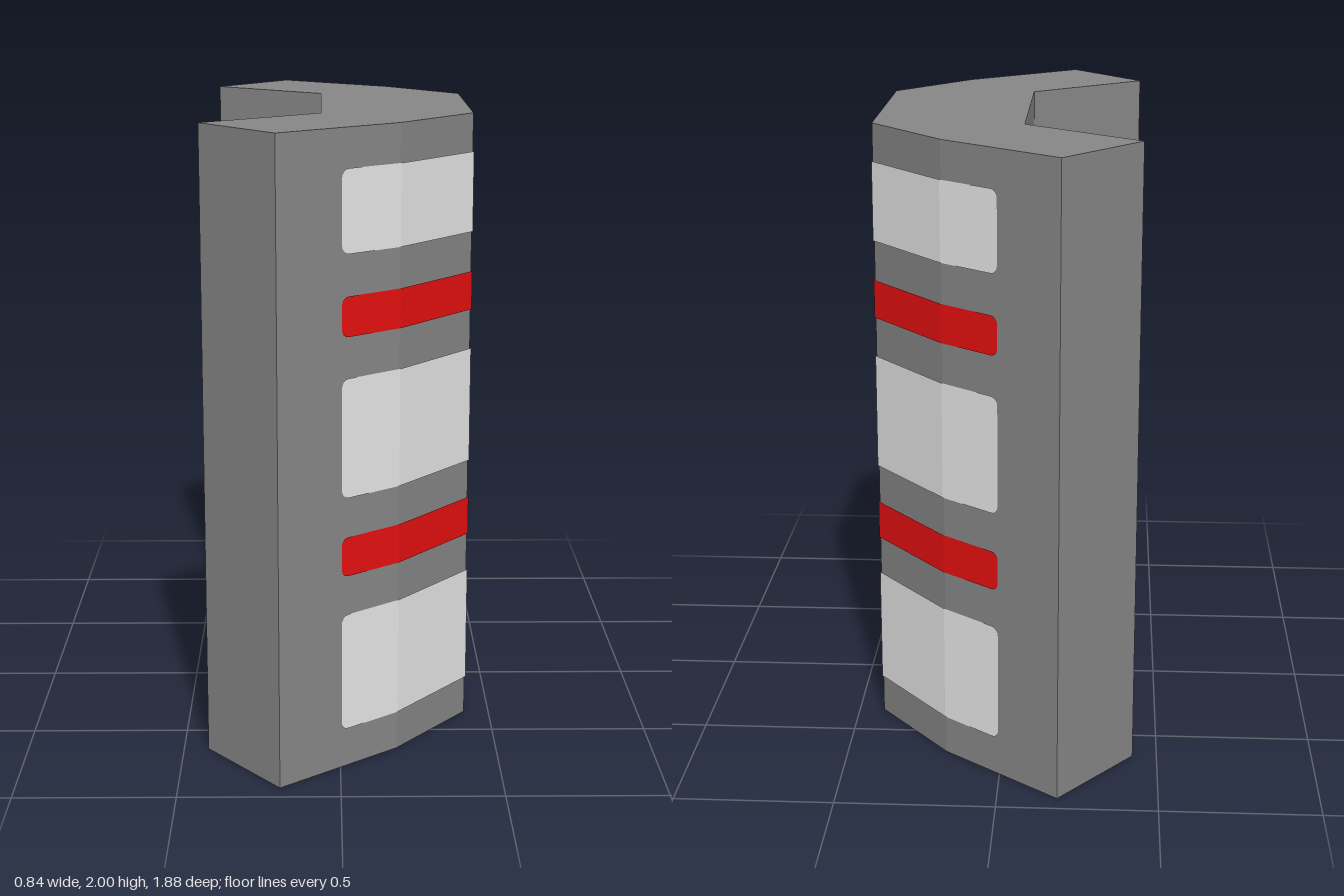
import * as THREE from 'three';

const concrete = new THREE.MeshStandardMaterial({ color: 0x868686 });
concrete.name = 'dark grey';
const white = new THREE.MeshStandardMaterial({ color: 0xe6e6e6 });
white.name = 'pale grey';
const red = new THREE.MeshStandardMaterial({ color: 0xe61010 });
red.name = 'red';

// Half of the wall's plan as [x, z]; the other half mirrors it in z
const outer = [[0.418, 0.35], [0.18, 0.645], [-0.187, 0.938]];
const inner = [[-0.422, 0.645], [-0.057, 0.35]];

// Painted band: a thin ribbon following the outer faces, with rounded ends
function band(name, y0, y1, material) {
  const r = 0.025;
  const start = new THREE.Vector2(0.0, 0.79);
  const along = new THREE.Vector2(0.18, 0.645).sub(start).normalize();
  const columns = [];
  for (let i = 0; i <= 4; i++) {
    const a = (i / 4) * Math.PI / 2;
    const p = start.clone().addScaledVector(along, r * (1 - Math.cos(a)));
    columns.push([p.x, p.y, r * (1 - Math.sin(a))]);
  }
  columns.push([0.18, 0.645, 0], [0.418, 0.35, 0]);
  const all = [...columns, ...columns.map(([x, z, inset]) => [x, -z, inset]).reverse()];

  const positions = [];
  for (let i = 0; i < all.length - 1; i++) {
    const [ax, az, ai] = all[i];
    const [bx, bz, bi] = all[i + 1];
    const bl = [ax, y0 + ai, az], tl = [ax, y1 - ai, az];
    const br = [bx, y0 + bi, bz], tr = [bx, y1 - bi, bz];
    positions.push(...bl, ...br, ...tr, ...bl, ...tr, ...tl);
  }
  const geometry = new THREE.BufferGeometry();
  geometry.setAttribute('position', new THREE.Float32BufferAttribute(positions, 3));
  geometry.computeVertexNormals();
  const mesh = new THREE.Mesh(geometry, material);
  mesh.name = name;
  mesh.position.x = 0.004; // sits just proud of the wall
  return mesh;
}

export function createModel() {
  const group = new THREE.Group();
  group.name = 'curvedBarrier';

  // Angular C-shaped wall
  const half = [...outer, ...inner];
  const plan = [...half, ...half.map(([x, z]) => [x, -z]).reverse()];
  const shape = new THREE.Shape(plan.map(([x, z]) => new THREE.Vector2(x, z)));
  const wallGeometry = new THREE.ExtrudeGeometry(shape, { depth: 2, bevelEnabled: false });
  wallGeometry.rotateX(-Math.PI / 2);
  const wall = new THREE.Mesh(wallGeometry, concrete);
  wall.name = 'wall';
  group.add(wall);

  // Alternating painted bands, bottom to top
  group.add(
    band('lowerPaleBand', 0.125, 0.503, white),
    band('lowerRedStripe', 0.627, 0.752, red),
    band('middlePaleBand', 0.877, 1.25, white),
    band('upperRedStripe', 1.377, 1.5, red),
    band('upperPaleBand', 1.627, 1.88, white),
  );
  return group;
}
